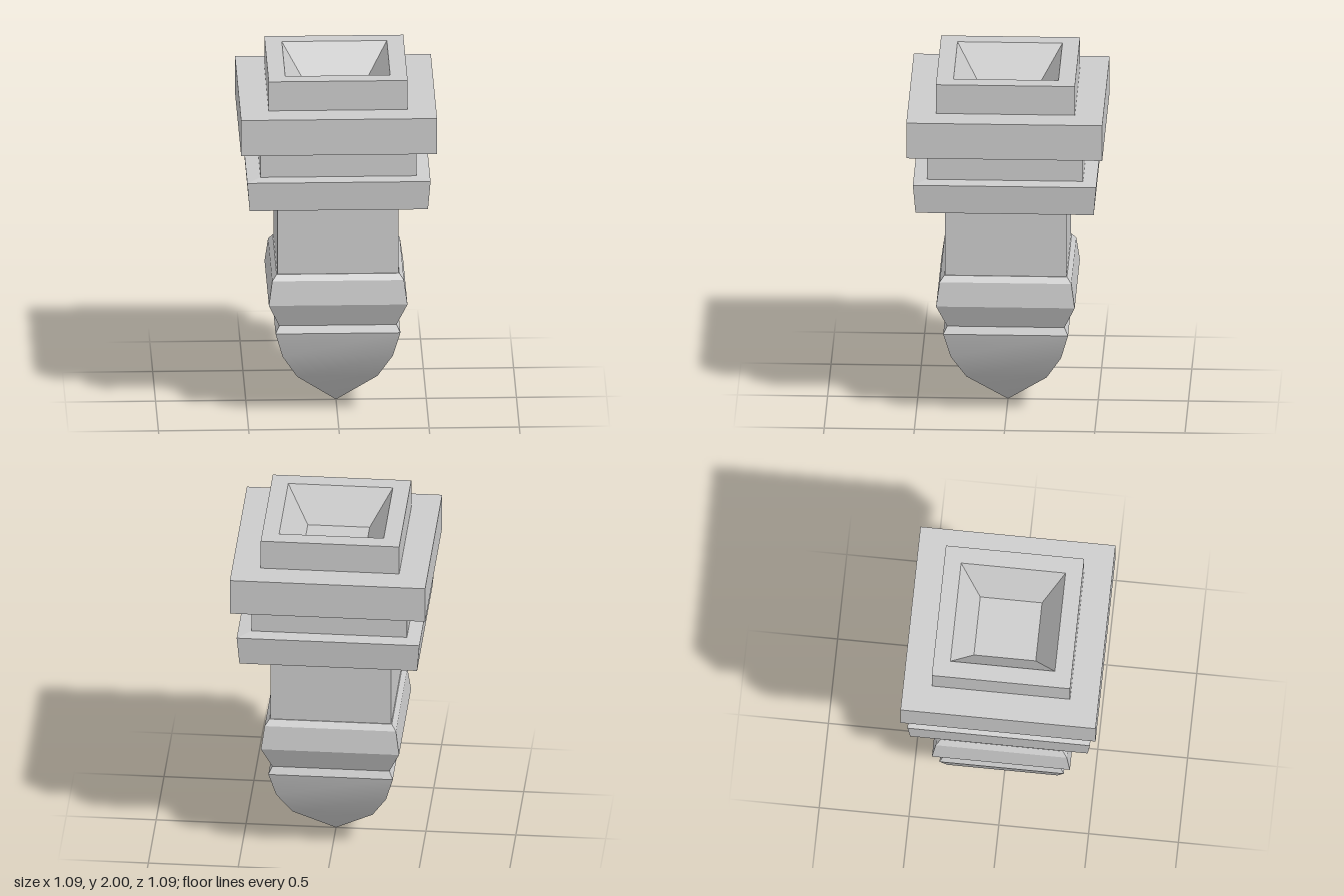
import * as THREE from 'three';

// Square loft: profile is a list of [halfWidth, y], running up the outside.
function squareLoft(profile, smooth) {
  const pos = [], idx = [];
  for (let side = 0; side < 4; side++) {
    const c = Math.round(Math.cos(side * Math.PI / 2));
    const s = Math.round(Math.sin(side * Math.PI / 2));
    const base = pos.length / 3;
    for (const [w, y] of profile) {
      for (const x of [-w, w]) pos.push(x * c + w * s, y, -x * s + w * c);
    }
    for (let i = 0; i < profile.length - 1; i++) {
      const a = base + i * 2;
      if (profile[i][0] > 0) idx.push(a, a + 1, a + 3);
      if (profile[i + 1][0] > 0) idx.push(a, a + 3, a + 2);
    }
  }
  let geo = new THREE.BufferGeometry();
  geo.setAttribute('position', new THREE.Float32BufferAttribute(pos, 3));
  geo.setIndex(idx);
  // Sides never share vertices, so the four corners stay sharp either way.
  if (!smooth) geo = geo.toNonIndexed();
  geo.computeVertexNormals();
  return geo;
}

export function createModel() {
  const group = new THREE.Group();
  const stone = new THREE.MeshStandardMaterial({ color: 0xcccccc });
  stone.name = 'stone grey';

  const add = (name, profile, smooth = false) => {
    const mesh = new THREE.Mesh(squareLoft(profile, smooth), stone);
    mesh.name = name;
    group.add(mesh);
  };

  // Pointed, softly curved drop at the bottom
  add('pointedTip', [[0, 0], [0.223, 0.213], [0.306, 0.36], [0.346, 0.507]], true);
  // Faceted moulding above the drop
  add('lowerMoulding', [[0.346, 0.507], [0.325, 0.548], [0.384, 0.685], [0.365, 0.822],
    [0.34, 0.854], [0.336, 0.854]]);
  // Straight square shaft
  add('shaft', [[0.336, 0.854], [0.336, 1.257]]);
  // Flared collar
  add('collar', [[0.336, 1.257], [0.494, 1.282], [0.508, 1.449], [0.432, 1.457]]);
  // Recessed neck
  add('neck', [[0.432, 1.457], [0.432, 1.602]]);
  // Widest slab
  add('slab', [[0.432, 1.602], [0.543, 1.622], [0.543, 1.83], [0.385, 1.83]]);
  // Top block with a tapered square socket
  add('topBlock', [[0.385, 1.83], [0.385, 2], [0.291, 2]]);
  add('socket', [[0.291, 2], [0.172, 1.81], [0, 1.81]]);

  return group;
}
